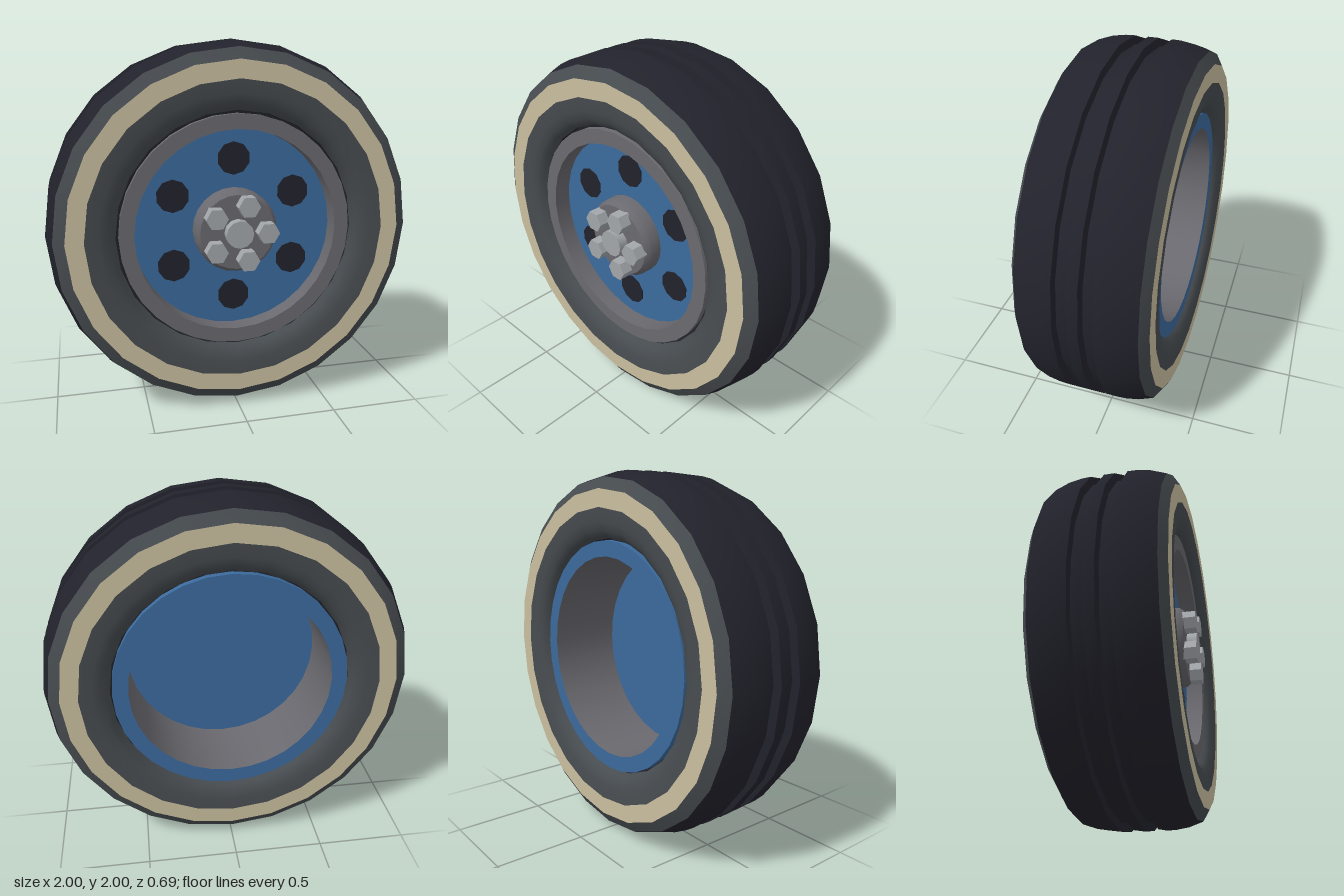
import * as THREE from 'three';
import { toCreasedNormals } from 'three/addons/utils/BufferGeometryUtils.js';

const paint = (name, color) => {
  const m = new THREE.MeshStandardMaterial({ color });
  m.name = name;
  return m;
};

export function createModel() {
  const rubber = paint('dark rubber', 0x22222c);
  const wall = paint('sidewall grey', 0x474c50);
  const cream = paint('cream band', 0xc9be9e);
  const steel = paint('rim grey', 0x69696f);
  const blue = paint('blue paint', 0x3b6a9c);
  const bolt = paint('bolt metal', 0xa2a6aa);

  const wheel = new THREE.Group();
  wheel.name = 'wheel';
  wheel.position.y = 1;

  const add = (name, geo, mat) => {
    const mesh = new THREE.Mesh(geo, mat);
    mesh.name = name;
    wheel.add(mesh);
    return mesh;
  };
  // Revolve [radius, z] points about the z axis; surfaces face left of the path's inside
  const spin = (name, pts, mat, sides) => {
    const geo = new THREE.LatheGeometry(pts.map(p => new THREE.Vector2(...p)), sides);
    geo.rotateX(Math.PI / 2);
    return add(name, toCreasedNormals(geo, 0.6), mat);
  };
  // Disc or prism along z, from z0 to z1
  const prism = (name, r, z0, z1, sides, mat, x = 0, y = 0, turn = 0) => {
    const geo = new THREE.CylinderGeometry(r, r, z1 - z0, sides);
    geo.rotateX(Math.PI / 2).rotateZ(turn);
    const mesh = add(name, toCreasedNormals(geo, 0.6), mat);
    mesh.position.set(x, y, (z0 + z1) / 2);
    return mesh;
  };
  // Mirror a half profile across the tyre's middle plane
  const MID = -0.008;
  const back = pts => pts.map(([r, z]) => [r, MID - z]);
  const front = pts => pts.map(([r, z]) => [r, MID + z]).reverse();

  // Tread with two grooves, running from back shoulder to front shoulder
  const tread = [[0.96, 0.3], [0.987, 0.22], [0.998, 0.15], [1, 0.1],
    [0.957, 0.095], [0.957, 0.036], [1, 0.028]];
  spin('tread', [...back(tread), ...front(tread)], rubber, 24);

  // Sidewall, coloured band and bead on both faces
  const rings = [
    ['shoulder', [[0.9, 0.337], [0.96, 0.3]], wall],
    ['band', [[0.805, 0.337], [0.9, 0.337]], cream],
    ['sidewall', [[0.645, 0.27], [0.66, 0.3], [0.69, 0.322], [0.735, 0.333], [0.805, 0.337]], wall],
    ['bead', [[0.615, 0.25], [0.642, 0.255], [0.645, 0.27]], rubber],
  ];
  for (const [name, pts, mat] of rings) {
    spin(name + 'Back', back(pts), mat, 24);
    spin(name + 'Front', front(pts), mat, 24);
  }

  // Rim: grey barrel and front lip, blue back lip
  spin('rimBarrel', [[0.63, -0.2], [0.63, 0.28], [0.55, 0.28], [0.55, -0.3]], steel, 32);
  spin('rimBackLip', [[0.55, -0.3], [0.635, -0.3], [0.635, -0.2]], blue, 32);

  // Wheel disc with dark round openings on its front
  prism('wheelDisc', 0.551, 0.11, 0.18, 32, blue);
  for (let i = 0; i < 6; i++) {
    const a = Math.PI / 2 + i * Math.PI / 3;
    prism('discHole', 0.09, 0.178, 0.185, 10, rubber, 0.385 * Math.cos(a), 0.385 * Math.sin(a));
  }

  // Hub with centre cap and five hex nuts
  spin('hub', [[0.228, 0.17], [0.226, 0.25], [0.205, 0.28], [0, 0.28]], steel, 24);
  prism('hubCap', 0.075, 0.27, 0.335, 12, bolt);
  for (let i = 0; i < 5; i++) {
    const a = i * Math.PI * 2 / 5;
    prism('hubNut', 0.06, 0.27, 0.345, 6, bolt,
      0.155 * Math.cos(a), 0.155 * Math.sin(a), Math.PI / 2);
  }

  const model = new THREE.Group();
  model.name = 'wheelModel';
  model.add(wheel);
  return model;
}
